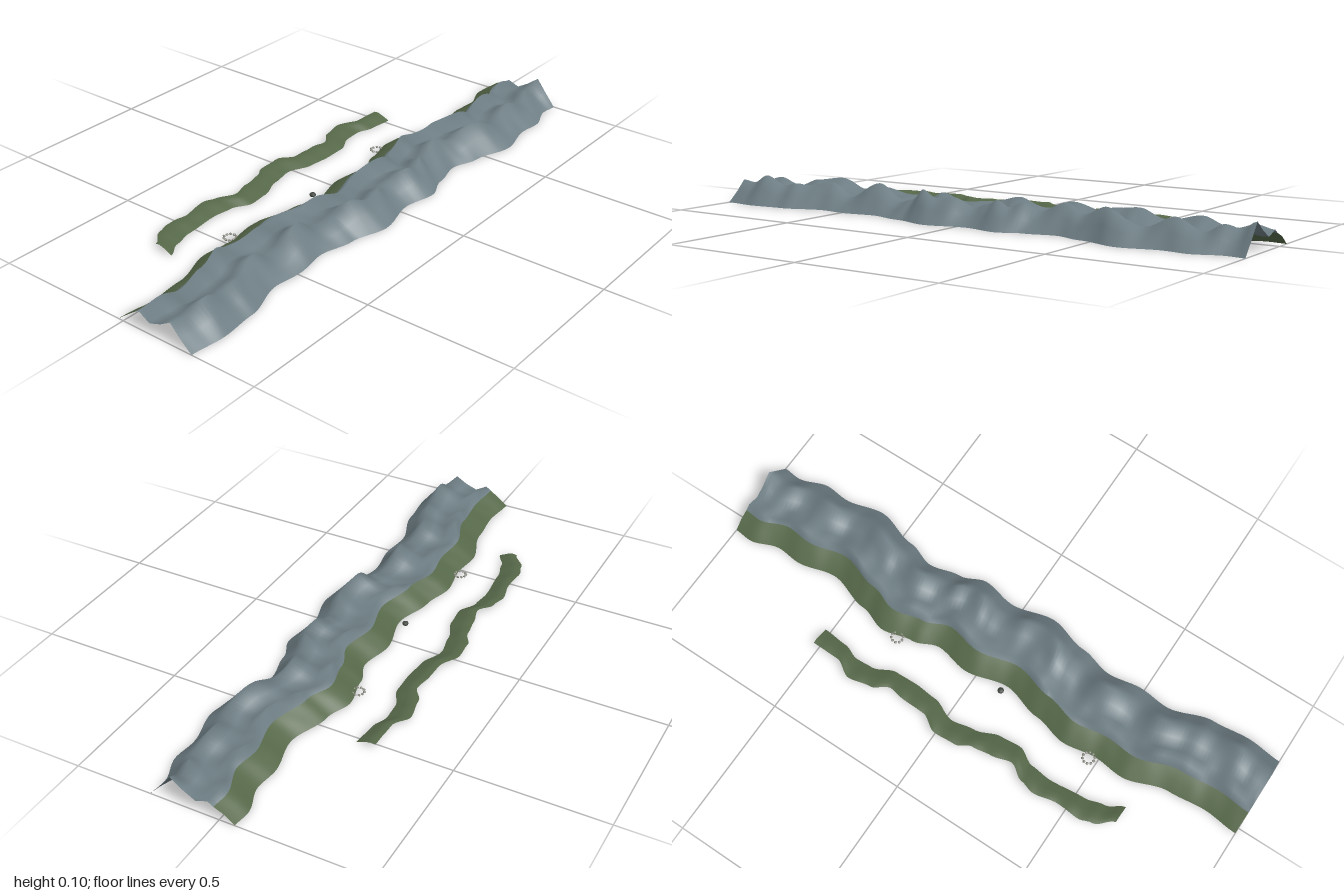
import * as THREE from 'three';

const mat = (name, color, extra = {}) => {
  const m = new THREE.MeshStandardMaterial({ color, ...extra });
  m.name = name;
  return m;
};

// Smooth curve through [x, value] pairs
function track(pairs) {
  return (x) => {
    if (x <= pairs[0][0]) return pairs[0][1];
    for (let i = 1; i < pairs.length; i++) {
      const [x0, a] = pairs[i - 1], [x1, b] = pairs[i];
      if (x <= x1) {
        const t = (x - x0) / (x1 - x0);
        return a + (b - a) * t * t * (3 - 2 * t);
      }
    }
    return pairs[pairs.length - 1][1];
  };
}

// Sheet swept along x; section(x) lists [z, y] points from front to back
function sheet(name, material, x0, x1, columns, section) {
  const pos = [], idx = [];
  let n = 0;
  for (let i = 0; i <= columns; i++) {
    const x = x0 + (x1 - x0) * i / columns;
    const pts = section(x);
    n = pts.length;
    pts.forEach(([z, y]) => pos.push(x, y, z));
  }
  for (let i = 0; i < columns; i++) {
    for (let j = 0; j < n - 1; j++) {
      const a = i * n + j, b = a + n;
      idx.push(a, b, a + 1, b, b + 1, a + 1);
    }
  }
  const geo = new THREE.BufferGeometry();
  geo.setAttribute('position', new THREE.Float32BufferAttribute(pos, 3));
  geo.setIndex(idx);
  geo.computeVertexNormals();
  const mesh = new THREE.Mesh(geo, material);
  mesh.name = name;
  return mesh;
}

// Rear foot line of the range
const foot = track([[-1, -0.02], [-0.88, -0.008], [-0.75, -0.02], [-0.59, -0.065], [-0.49, -0.055],
  [-0.37, -0.072], [-0.25, -0.045], [-0.11, -0.01], [0.04, -0.042], [0.16, -0.02], [0.25, -0.052],
  [0.36, -0.075], [0.46, -0.045], [0.61, -0.004], [0.75, -0.033], [0.83, -0.025], [0.94, -0.058], [1, -0.052]]);

// Height of the front and rear crests
const frontCrest = track([[-1, 0.075], [-0.94, 0.07], [-0.87, 0.1], [-0.79, 0.07], [-0.74, 0.08], [-0.69, 0.075],
  [-0.61, 0.09], [-0.52, 0.045], [-0.4, 0.1], [-0.3, 0.045], [-0.24, 0.06], [-0.18, 0.1], [-0.11, 0.078],
  [-0.05, 0.085], [0.02, 0.055], [0.07, 0.07], [0.12, 0.09], [0.17, 0.07], [0.21, 0.088], [0.26, 0.06],
  [0.35, 0.095], [0.42, 0.065], [0.52, 0.1], [0.66, 0.055], [0.75, 0.09], [0.85, 0.055], [0.9, 0.08],
  [0.95, 0.068], [1, 0.095]]);
const rearCrest = track([[-1, 0.062], [-0.92, 0.078], [-0.83, 0.055], [-0.75, 0.08], [-0.66, 0.09], [-0.57, 0.055],
  [-0.47, 0.07], [-0.37, 0.05], [-0.28, 0.045], [-0.19, 0.075], [-0.08, 0.055], [0, 0.06], [0.13, 0.085],
  [0.22, 0.055], [0.3, 0.08], [0.39, 0.06], [0.48, 0.078], [0.58, 0.09], [0.67, 0.06], [0.78, 0.08],
  [0.88, 0.05], [0.94, 0.065], [1, 0.055]]);
const ripple = (x) => Math.sin(x * 83) + 0.6 * Math.sin(x * 47 + 1);
const grassTop = (x) => 0.046 + 0.004 * Math.sin(x * 17);

// Valley bank
const bankFront = track([[-0.66, -0.143], [-0.6, -0.175], [-0.53, -0.192], [-0.4, -0.203], [-0.33, -0.195],
  [-0.26, -0.162], [-0.19, -0.168], [-0.1, -0.198], [-0.02, -0.212], [0.07, -0.18], [0.15, -0.173],
  [0.23, -0.175], [0.31, -0.207], [0.37, -0.21], [0.43, -0.19], [0.52, -0.182]]);
const bankBack = track([[-0.66, -0.208], [-0.6, -0.252], [-0.55, -0.266], [-0.47, -0.26], [-0.38, -0.276],
  [-0.33, -0.262], [-0.27, -0.228], [-0.2, -0.245], [-0.13, -0.255], [-0.08, -0.28], [0, -0.284],
  [0.07, -0.248], [0.15, -0.246], [0.21, -0.236], [0.27, -0.27], [0.35, -0.285], [0.42, -0.25], [0.52, -0.248]]);

export function createModel() {
  const group = new THREE.Group();
  const rock = mat('slate rock', 0x6e7e84, { side: THREE.DoubleSide });
  const grass = mat('moss green', 0x566849, { side: THREE.DoubleSide });
  const stone = mat('pale stone', 0x8c8c84);
  const dark = mat('dark stone', 0x40463f);

  // Twin-crested rock range, open below
  group.add(sheet('rockRange', rock, -1, 1, 160, (x) => {
    const f = foot(x), a = frontCrest(x), b = rearCrest(x), r = ripple(x);
    const valley = 0.022 + 0.3 * Math.min(a, b) + 0.002 * r;
    return [
      [f + 0.29, 0],
      [f + 0.25 + 0.0015 * r, a * 0.5],
      [f + 0.213, a],
      [f + 0.172, (a + valley) / 2 - 0.004],
      [f + 0.13, valley],
      [f + 0.088, b],
      [f + 0.068, grassTop(x)],
    ];
  }));

  // Green slope behind the range
  group.add(sheet('grassSlope', grass, -1, 1, 160, (x) => {
    const f = foot(x), r = ripple(x);
    return [
      [f + 0.068, grassTop(x)],
      [f + 0.034, 0.027 + 0.001 * r],
      [f, 0],
    ];
  }));

  // Separate low green bank at the rear
  group.add(sheet('rearBank', grass, -0.66, 0.52, 100, (x) => {
    const f = bankFront(x), b = bankBack(x), r = ripple(x);
    return [
      [f, 0],
      [f + (b - f) * 0.45, 0.013 + 0.001 * r],
      [f + (b - f) * 0.75, 0.019 + 0.001 * r],
      [b, 0.017 + 0.001 * r],
    ];
  }));

  // Small stone circles
  const pebble = new THREE.IcosahedronGeometry(0.0055, 0);
  for (const [cx, cz] of [[-0.47, -0.07], [0.3, -0.07]]) {
    const circle = new THREE.Group();
    circle.name = 'stoneCircle';
    circle.position.set(cx, 0.004, cz);
    for (let i = 0; i < 10; i++) {
      const t = i / 10 * Math.PI * 2;
      const p = new THREE.Mesh(pebble, stone);
      p.name = 'pebble';
      p.position.set(Math.cos(t) * 0.02, 0, Math.sin(t) * 0.02);
      p.rotation.y = t;
      p.scale.y = 0.7;
      circle.add(p);
    }
    group.add(circle);
  }

  // Lone boulder
  const boulder = new THREE.Mesh(new THREE.IcosahedronGeometry(0.011, 1), dark);
  boulder.name = 'boulder';
  boulder.position.set(-0.1, 0.008, -0.036);
  boulder.scale.y = 0.7;
  group.add(boulder);

  return group;
}
